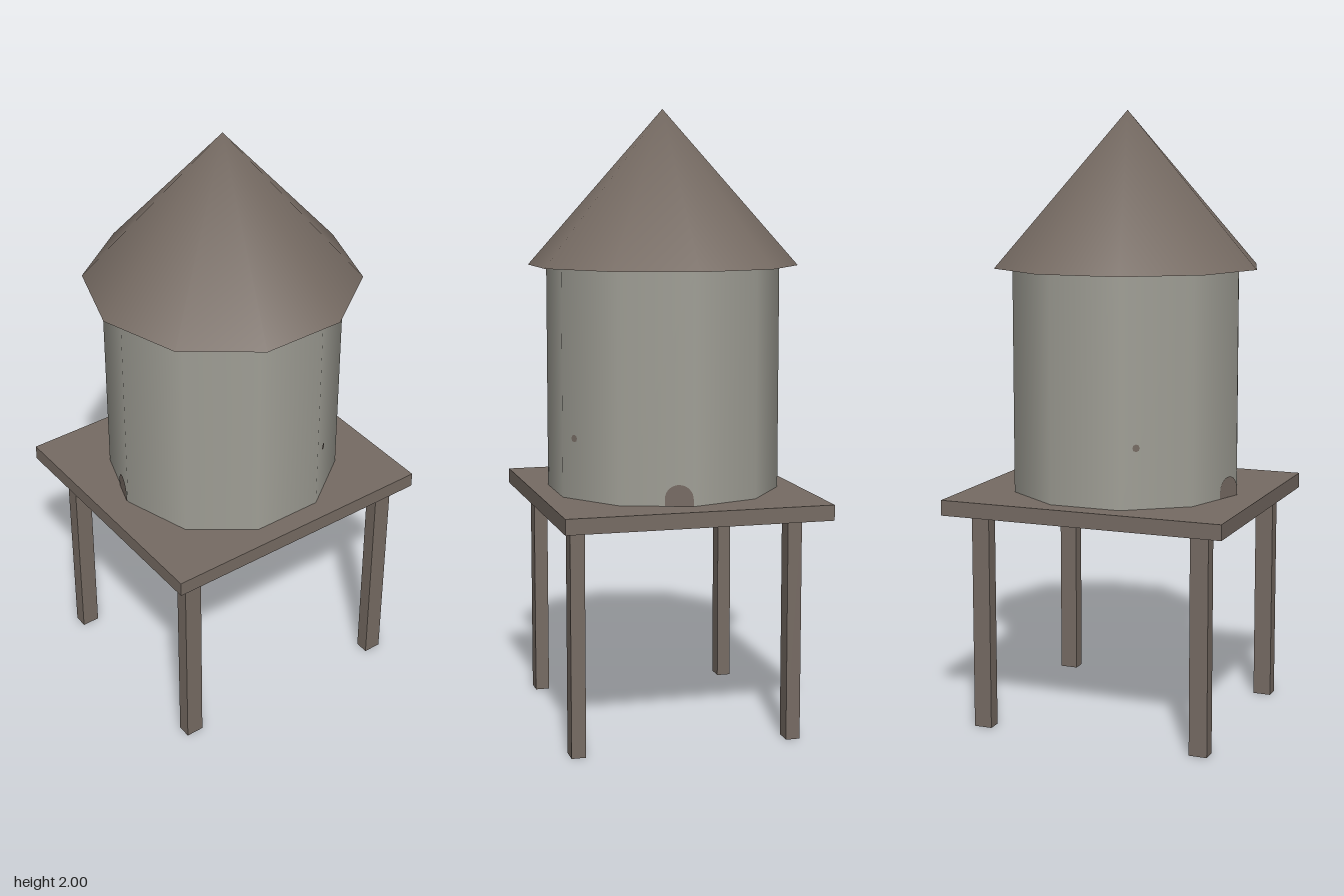
import * as THREE from 'three';
import { mergeVertices } from 'three/addons/utils/BufferGeometryUtils.js';

const wood = new THREE.MeshStandardMaterial({ color: 0x766b63 });
wood.name = 'weathered wood';
const metal = new THREE.MeshStandardMaterial({ color: 0xa09f96 });
metal.name = 'grey tank';

const SIDES = 10;
const TANK_R = 0.38;
const DECK_TOP = 0.77;
const EAVES = 1.5;

function part(parent, name, geometry, material, x = 0, y = 0, z = 0) {
  const mesh = new THREE.Mesh(geometry, material);
  mesh.name = name;
  mesh.position.set(x, y, z);
  parent.add(mesh);
  return mesh;
}

// Slab cut from a slightly irregular rectangle, lying flat
function deckGeometry(thickness) {
  const corners = [[-0.465, -0.43], [0.472, -0.43], [0.47, 0.43], [-0.475, 0.43]];
  const shape = new THREE.Shape(corners.map(([x, y]) => new THREE.Vector2(x, y)));
  return new THREE.ExtrudeGeometry(shape, { depth: thickness, bevelEnabled: false }).rotateX(-Math.PI / 2);
}

// Cone with one shared apex, so the shading rounds over the top
function roofGeometry(radius, height) {
  const cone = new THREE.ConeGeometry(radius, height, SIDES, 1, true, Math.PI / 2);
  cone.deleteAttribute('normal');
  cone.deleteAttribute('uv');
  const merged = mergeVertices(cone, 1e-4);
  merged.computeVertexNormals();
  return merged;
}

// Half-round hatch outline with a short straight foot
function hatchGeometry(radius, foot) {
  const shape = new THREE.Shape();
  shape.moveTo(-radius, 0);
  shape.lineTo(radius, 0);
  shape.lineTo(radius, foot);
  shape.absarc(0, foot, radius, 0, Math.PI, false);
  shape.closePath();
  return new THREE.ShapeGeometry(shape, 8);
}

// Lays a flat plate on one wall of the tank; angle is measured from +x towards +z
function placeOnWall(mesh, angle, along, y) {
  const r = TANK_R * Math.cos(Math.PI / SIDES) + 0.003;
  mesh.position.set(
    r * Math.cos(angle) - along * Math.sin(angle), y,
    r * Math.sin(angle) + along * Math.cos(angle));
  mesh.rotation.y = Math.PI / 2 - angle;
}

export function createModel() {
  const model = new THREE.Group();
  model.name = 'waterTower';

  // Legs, the front pair standing at slightly different depths
  const legs = [
    ['frontLeftLeg', 0.373, 0.378], ['frontRightLeg', -0.375, 0.342],
    ['backLeftLeg', 0.373, -0.323], ['backRightLeg', -0.375, -0.323],
  ];
  const legGeometry = new THREE.BoxGeometry(0.06, 0.73, 0.046);
  for (const [name, x, z] of legs) part(model, name, legGeometry, wood, x, 0.365, z);

  // Deck
  part(model, 'deck', deckGeometry(0.05), wood, 0, DECK_TOP - 0.05, 0);

  // Ten-sided tank
  const tankHeight = EAVES - DECK_TOP;
  part(model, 'tank',
    new THREE.CylinderGeometry(TANK_R, TANK_R, tankHeight, SIDES, 1, false, Math.PI / 2),
    metal, 0, DECK_TOP + tankHeight / 2, 0);

  // Roof and its underside
  part(model, 'roof', roofGeometry(0.44, 2 - EAVES), wood, 0, (2 + EAVES) / 2, 0);
  part(model, 'roofUnderside', new THREE.CircleGeometry(0.44, SIDES).rotateX(Math.PI / 2), wood, 0, EAVES, 0);

  // Hatches and small plugs, repeated on opposite sides of the tank
  const hatch = hatchGeometry(0.045, 0.022);
  const plug = new THREE.CircleGeometry(0.012, 8);
  for (const turn of [0, Math.PI]) {
    placeOnWall(part(model, 'hatch', hatch, wood), Math.PI / 10 + turn, -0.07, DECK_TOP + 0.001);
    placeOnWall(part(model, 'plug', plug, wood), Math.PI * 0.3 + turn, 0.065, 0.965);
  }

  return model;
}
